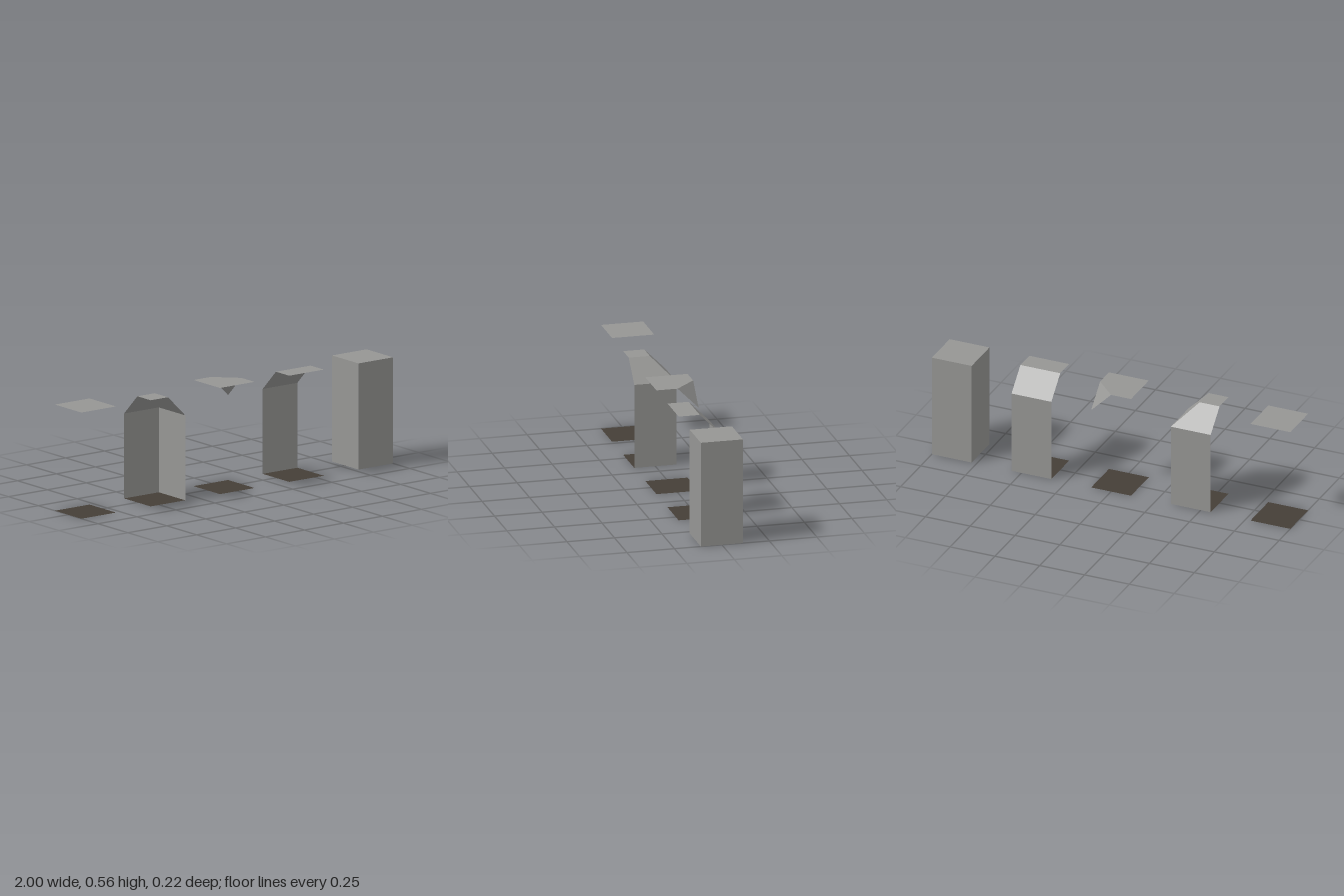
import * as THREE from 'three';

const U = 1 / 9;      // half a tile
const TOP = 5;        // tile heights in half-tile units
const EDGE = 4;       // where the sloped edge meets the wall

const stone = new THREE.MeshStandardMaterial({ color: 0x969694, side: THREE.DoubleSide });
stone.name = 'greyStone';
const soil = new THREE.MeshStandardMaterial({ color: 0x453e37, side: THREE.DoubleSide });
soil.name = 'darkSoil';

// Flat convex face from corners given counter-clockwise, in half-tile units
function face(name, corners, material = stone) {
  const positions = [];
  for (let i = 1; i < corners.length - 1; i++) {
    positions.push(...corners[0], ...corners[i], ...corners[i + 1]);
  }
  const geometry = new THREE.BufferGeometry();
  geometry.setAttribute('position', new THREE.Float32BufferAttribute(positions, 3));
  geometry.scale(U, U, U);
  geometry.computeVertexNormals();
  const mesh = new THREE.Mesh(geometry, material);
  mesh.name = name;
  return mesh;
}

// Horizontal face from [x, z] corners
const level = (name, y, outline, material) =>
  face(name, outline.map(([x, z]) => [x, y, z]), material);

// Upright face between two [x, z] points
const wall = (name, [x0, z0], [x1, z1], height) =>
  face(name, [[x0, 0, z0], [x1, 0, z1], [x1, height, z1], [x0, height, z0]]);

const SQUARE = [[-1, 1], [1, 1], [1, -1], [-1, -1]];

function tile(name, column, parts) {
  const group = new THREE.Group();
  group.name = name;
  group.position.x = column * 4 * U;
  group.add(level('floor', 0, [...SQUARE].reverse(), soil), ...parts);
  return group;
}

export function createModel() {
  const model = new THREE.Group();
  model.name = 'cliffTileSet';

  model.add(
    // Open middle tile: only a cap above the floor
    tile('centreTile', -2, [level('cap', TOP, SQUARE)]),

    // Outer corner: two walls with slopes meeting at a hip
    tile('outerCornerTile', -1, [
      level('cap', TOP, [[-1, 1], [0, 1], [0, 0], [-1, 0]]),
      face('backSlope', [[-1, TOP, 0], [0, TOP, 0], [1, EDGE, -1], [-1, EDGE, -1]]),
      face('sideSlope', [[0, TOP, 1], [1, EDGE, 1], [1, EDGE, -1], [0, TOP, 0]]),
      wall('backWall', [1, -1], [-1, -1], EDGE),
      wall('sideWall', [1, 1], [1, -1], EDGE),
    ]),

    // Inner corner: cap with one corner folded down
    tile('innerCornerTile', 0, [
      level('cap', TOP, [[-1, 1], [1, 1], [1, 0], [0, -1], [-1, -1]]),
      face('cornerSlope', [[0, TOP, -1], [1, TOP, 0], [1, EDGE, -1]]),
    ]),

    // Straight edge: one wall and one slope
    tile('edgeTile', 1, [
      level('cap', TOP, [[-1, 1], [1, 1], [1, 0], [-1, 0]]),
      face('backSlope', [[-1, TOP, 0], [1, TOP, 0], [1, EDGE, -1], [-1, EDGE, -1]]),
      wall('backWall', [1, -1], [-1, -1], EDGE),
    ]),

    // Closed pillar: four full walls
    tile('pillarTile', 2, [
      level('cap', TOP, SQUARE),
      ...SQUARE.map((p, i) =>
        wall(['frontWall', 'leftWall', 'backWall', 'rightWall'][i], p, SQUARE[(i + 1) % 4], TOP)),
    ]),
  );
  return model;
}
